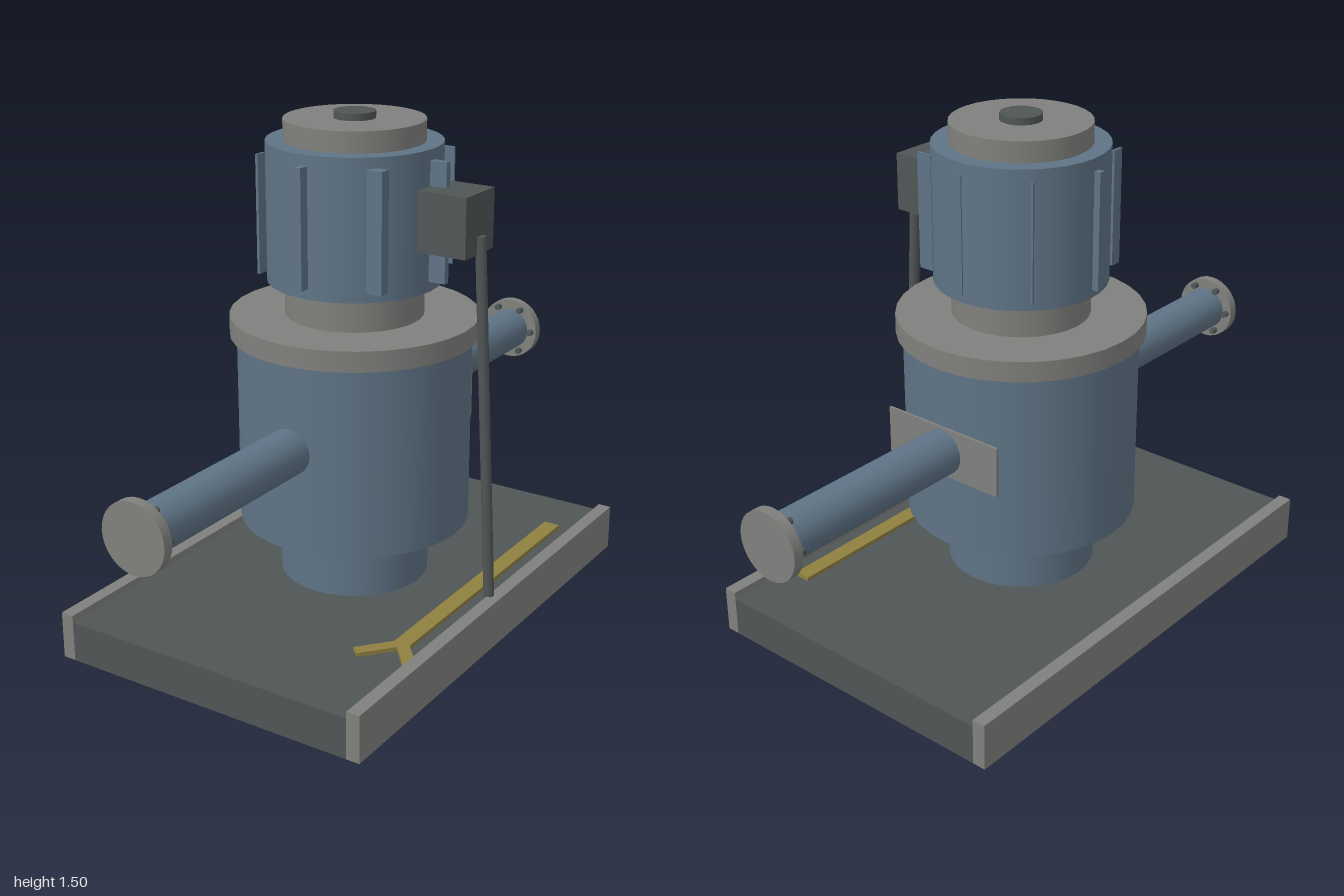
import * as THREE from 'three';

const mat = (name, color) => {
  const m = new THREE.MeshStandardMaterial({ color });
  m.name = name;
  return m;
};

export function createModel() {
  const model = new THREE.Group();
  model.name = 'verticalPump';
  const blue = mat('blue paint', 0x5f7486);
  const gray = mat('bare steel', 0x80807d);
  const dark = mat('dark steel', 0x505555);
  const yellow = mat('yellow paint', 0x8f7f40);

  const add = (name, geometry, material, x = 0, y = 0, z = 0, parent = model) => {
    const mesh = new THREE.Mesh(geometry, material);
    mesh.name = name;
    mesh.position.set(x, y, z);
    parent.add(mesh);
    return mesh;
  };
  const box = (name, material, w, h, d, x, y, z) =>
    add(name, new THREE.BoxGeometry(w, h, d), material, x, y, z);
  // Upright drum between two heights
  const drum = (name, material, r, y0, y1, sides = 32) =>
    add(name, new THREE.CylinderGeometry(r, r, y1 - y0, sides), material, 0, (y0 + y1) / 2, 0);

  // Base deck with side rails
  box('baseDeck', dark, 0.92, 0.12, 1.5, 0, 0.06, 0);
  for (const s of [-1, 1]) box('baseRail', gray, 0.04, 0.14, 1.5, s * 0.48, 0.07, 0);

  // Stacked pump and motor
  drum('pedestal', blue, 0.22, 0.12, 0.30);
  drum('pumpBarrel', blue, 0.34, 0.30, 0.86);
  drum('barrelFlange', gray, 0.36, 0.86, 0.92);
  drum('motorNeck', gray, 0.20, 0.92, 1.02);
  drum('motorBody', blue, 0.25, 1.02, 1.42);
  drum('motorCap', gray, 0.20, 1.42, 1.48);
  drum('shaftCover', dark, 0.06, 1.48, 1.50, 16);

  // Cooling fins, axis aligned and varying in size around the motor
  for (let i = 0; i < 8; i++) {
    const c = Math.cos(i * Math.PI / 4), s = Math.sin(i * Math.PI / 4);
    const w = Math.abs(0.02 + 0.04 * c), d = Math.max(0.004, 0.02 + 0.02 * s);
    box('coolingFin', blue, w, 0.34, d, 0.27 * c, 1.22, 0.26 * s);
  }

  // Inlet and outlet pipes with bolted end flanges
  for (const s of [-1, 1]) {
    const pipe = new THREE.Group();
    pipe.name = s > 0 ? 'frontPipe' : 'backPipe';
    pipe.position.y = 0.6;
    pipe.rotation.x = s * Math.PI / 2;
    model.add(pipe);
    add('pipeTube', new THREE.CylinderGeometry(0.068, 0.068, 0.67, 24), blue, 0, 0.635, 0, pipe);
    add('pipeFlange', new THREE.CylinderGeometry(0.1, 0.1, 0.03, 32), gray, 0, 0.985, 0, pipe);
    for (let i = 0; i < 6; i++) {
      const a = i * Math.PI / 3;
      add('flangeBolt', new THREE.CylinderGeometry(0.01, 0.01, 0.02, 8), dark,
        0.082 * Math.cos(a), 0.962, 0.082 * Math.sin(a), pipe);
    }
  }

  // Plate on the back of the barrel
  box('backPlate', gray, 0.4, 0.15, 0.008, 0, 0.6, -0.342);

  // Terminal box and its sloping conduit
  box('terminalBox', dark, 0.15, 0.17, 0.155, 0.325, 1.235, 0);
  const top = new THREE.Vector3(0.403, 1.2, 0), foot = new THREE.Vector3(0.462, 0.12, 0);
  const run = top.clone().sub(foot);
  const mid = top.clone().add(foot).multiplyScalar(0.5);
  const conduit = add('conduit', new THREE.CylinderGeometry(0.016, 0.016, run.length(), 8), dark, mid.x, mid.y, mid.z);
  conduit.quaternion.setFromUnitVectors(new THREE.Vector3(0, 1, 0), run.normalize());

  // Forked lifting bar lying on the deck
  box('liftingBar', yellow, 0.05, 0.012, 0.91, 0.39, 0.126, -0.095);
  for (const s of [-1, 1]) {
    const arm = box('liftingFork', yellow, 0.035, 0.012, 0.14, 0.39 + s * 0.042, 0.126, 0.412);
    arm.rotation.y = s * 0.7;
  }
  return model;
}
